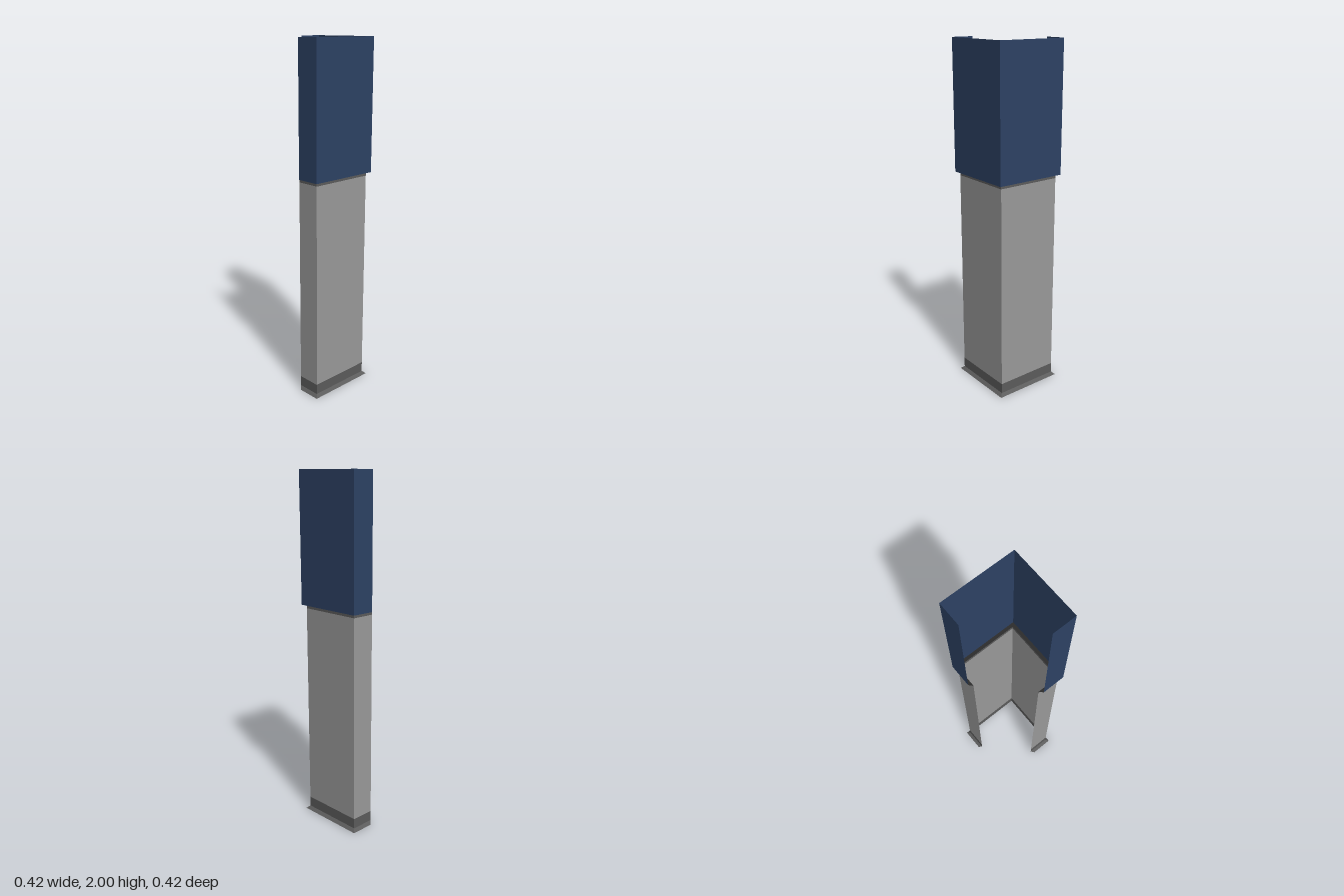
import * as THREE from 'three';

const material = (name, color) =>
  new THREE.MeshStandardMaterial({ name, color, side: THREE.DoubleSide });

// Plan of the folded sheet at half-width a: short back return, two full walls, short side return
const plan = (a) => [[a - 0.135, -a], [a, -a], [a, a], [-a, a], [-a, a - 0.135]];

// Sheet band that runs along the plan, from half-width a0 at y0 up to a1 at y1
function band(name, mat, a0, y0, a1, y1) {
  const low = plan(a0), high = plan(a1), positions = [];
  for (let i = 0; i < low.length - 1; i++) {
    const b0 = [low[i][0], y0, low[i][1]], b1 = [low[i + 1][0], y0, low[i + 1][1]];
    const t0 = [high[i][0], y1, high[i][1]], t1 = [high[i + 1][0], y1, high[i + 1][1]];
    positions.push(...b0, ...t0, ...b1, ...b1, ...t0, ...t1);
  }
  const geometry = new THREE.BufferGeometry();
  geometry.setAttribute('position', new THREE.Float32BufferAttribute(positions, 3));
  geometry.computeVertexNormals();
  const mesh = new THREE.Mesh(geometry, mat);
  mesh.name = name;
  return mesh;
}

export function createModel() {
  const blue = material('navy blue', 0x2d4264);
  const grey = material('concrete grey', 0x9a9a9a);
  const dark = material('dark grey', 0x5c5c5c);
  const black = material('charcoal', 0x2c2c2c);

  const outer = 0.21, inner = 0.19, ledgeY = 1.265;
  const model = new THREE.Group();
  model.name = 'cornerColumn';
  model.add(
    // Base trim that flares out at the floor
    band('baseFlare', dark, 0.208, 0, inner, 0.016),
    band('baseTrim', dark, inner, 0.016, inner, 0.075),
    // Lower wall with a narrow band at its top
    band('lowerWall', grey, inner, 0.075, inner, 1.245),
    band('neckBand', dark, inner, 1.245, inner, ledgeY),
    // Ledge that steps out to the wider upper cladding
    band('ledge', black, inner, ledgeY, outer, ledgeY),
    band('upperCladding', blue, outer, ledgeY, outer, 2)
  );
  return model;
}
